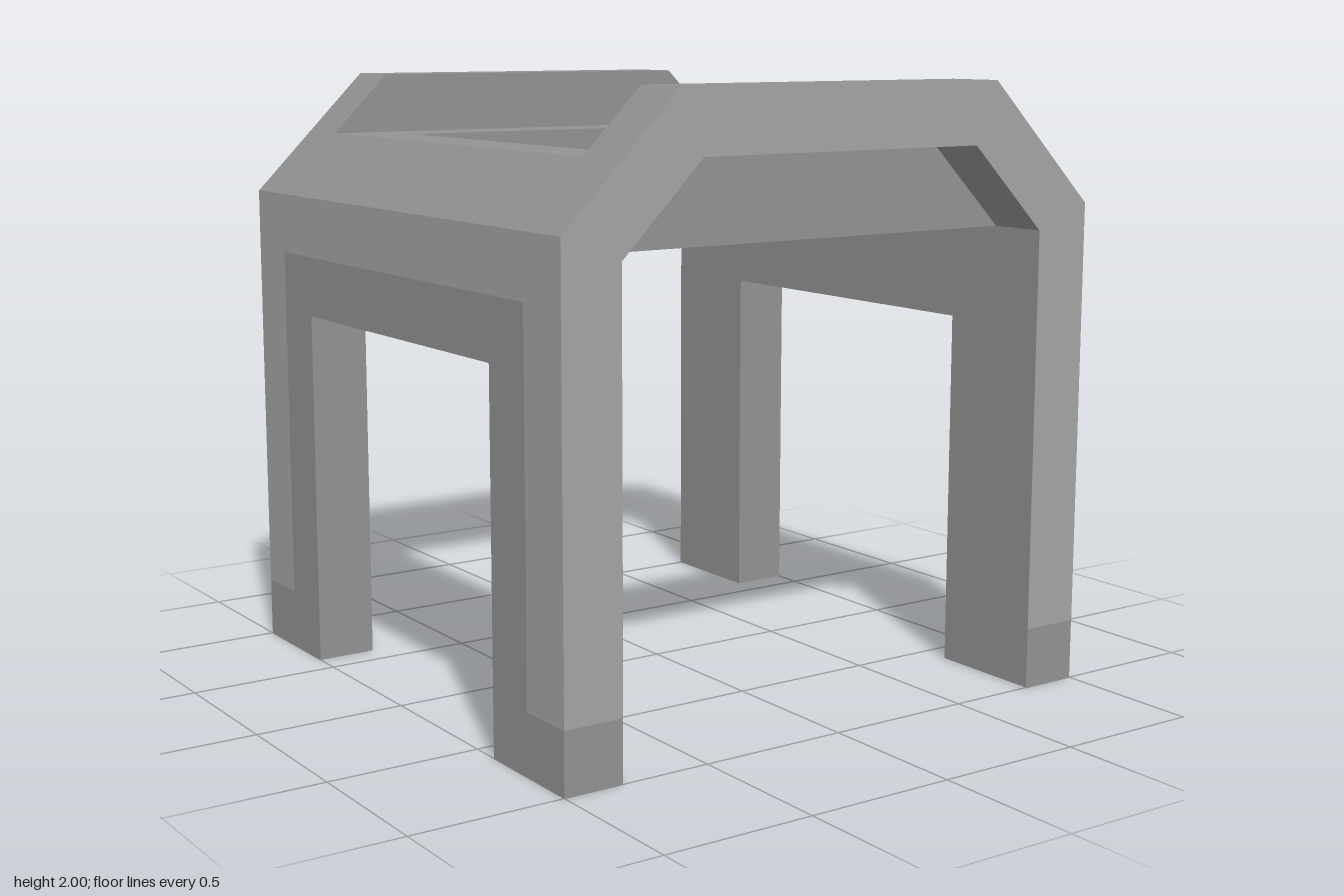
import * as THREE from 'three';

const bodyMaterial = new THREE.MeshStandardMaterial({ color: 0x929292, flatShading: true });
const panelMaterial = new THREE.MeshStandardMaterial({ color: 0xa4a4a4, flatShading: true });

const toShape = (pairs) => new THREE.Shape(pairs.map(([x, y]) => new THREE.Vector2(x, y)));

// Extrudes an outline along z, centred on z = 0
function prism(outline, depth, hole) {
  const shape = toShape(outline);
  if (hole) shape.holes.push(toShape(hole));
  return new THREE.ExtrudeGeometry(shape, { depth, bevelEnabled: false }).translate(0, 0, -depth / 2);
}

const square = (r) => [[-r, -r], [r, -r], [r, r], [-r, r]];

// Chamfered arch outline whose legs end at the given height
const archOutline = (bottom) => [
  [-1, bottom], [-0.8, bottom], [-0.8, 1.52], [-0.52, 1.8], [0.52, 1.8], [0.8, 1.52],
  [0.8, bottom], [1, bottom], [1, 1.6], [0.6, 2], [-0.6, 2], [-1, 1.6],
];

export function createModel() {
  const group = new THREE.Group();
  const add = (name, geometry, x = 0, y = 0, z = 0, material = bodyMaterial) => {
    const mesh = new THREE.Mesh(geometry, material);
    mesh.name = name;
    mesh.position.set(x, y, z);
    group.add(mesh);
    return mesh;
  };

  // Chamfered end arches, each one with its outer leg halves
  const arch = prism(archOutline(0), 0.2);
  add('frontArch', arch, 0, 0, 0.9);
  add('backArch', arch, 0, 0, -0.9);

  // Side rails with a sloped top, and the inner leg halves below them
  const innerLeg = new THREE.BoxGeometry(0.2, 1.2, 0.2);
  for (const [side, s] of [['left', 1], ['right', -1]]) {
    const rail = [[0.8, 1.2], [1, 1.2], [1, 1.6], [0.8, 1.8]].map(([x, y]) => [s * x, y]);
    add(side + 'Rail', prism(rail, 1.6));
    add(side + 'FrontInnerLeg', innerLeg, s * 0.9, 0.6, 0.7);
    add(side + 'BackInnerLeg', innerLeg, s * 0.9, 0.6, -0.7);
  }

  // Flat top frame with a square opening
  const frame = prism(square(0.8), 0.28, square(0.6)).rotateX(-Math.PI / 2);
  add('topFrame', frame, 0, 1.66, 0);

  // Lighter facings on the four outer walls, stopping above the feet
  const endPanel = new THREE.ShapeGeometry(toShape(archOutline(0.2)));
  const sidePanel = new THREE.ShapeGeometry(toShape([
    [-1, 0.2], [-0.8, 0.2], [-0.8, 1.4], [0.8, 1.4], [0.8, 0.2], [1, 0.2], [1, 1.6], [-1, 1.6],
  ]));
  ['front', 'left', 'back', 'right'].forEach((side, i) => {
    const angle = i * Math.PI / 2;
    const panel = add(side + 'Panel', i % 2 ? sidePanel : endPanel,
      1.001 * Math.sin(angle), 0, 1.001 * Math.cos(angle), panelMaterial);
    panel.rotation.y = angle;
  });

  return group;
}
